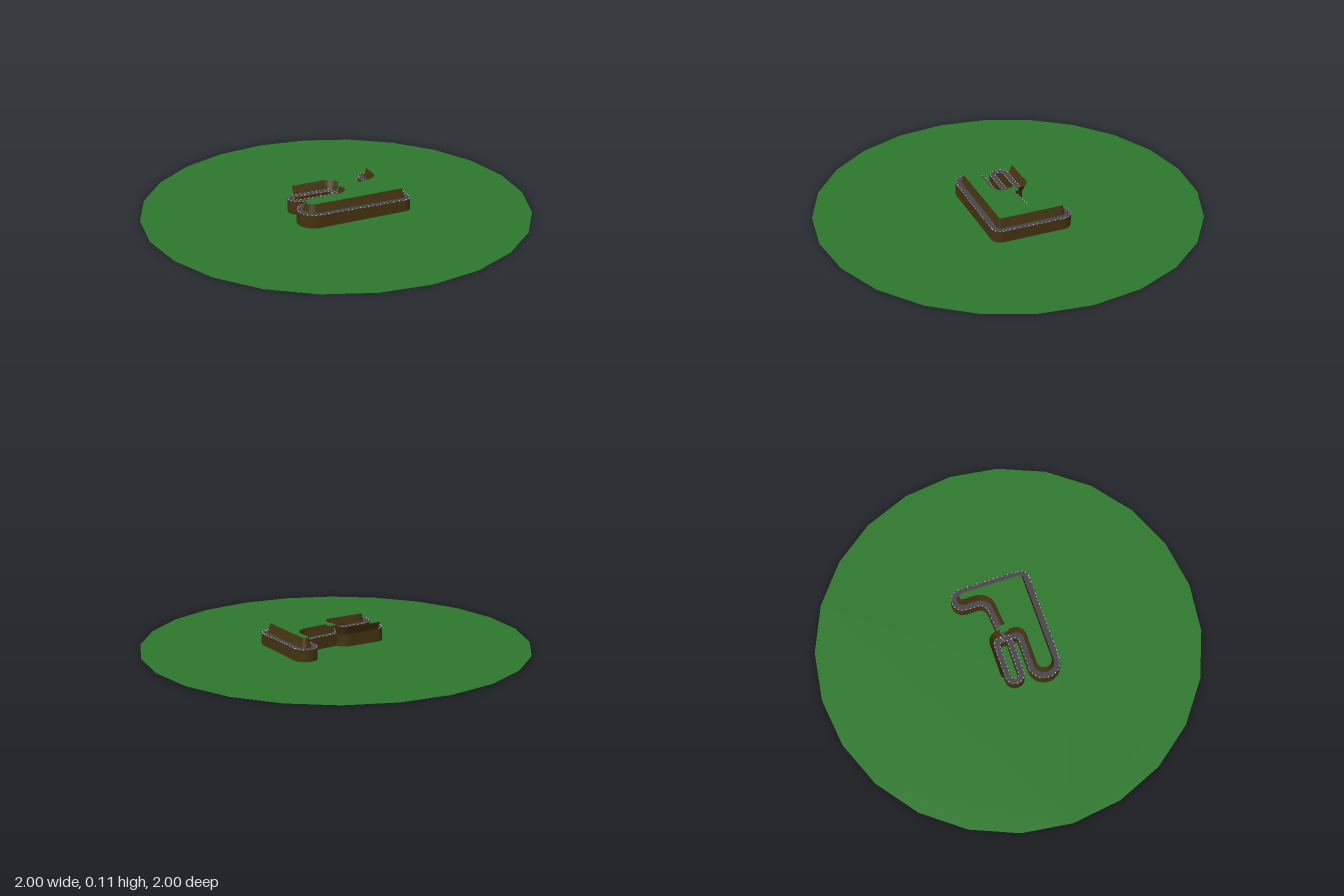
import * as THREE from 'three';
import { mergeGeometries } from 'three/addons/utils/BufferGeometryUtils.js';

const material = (name, color) => {
  const m = new THREE.MeshStandardMaterial({ color, side: THREE.DoubleSide });
  m.name = name;
  return m;
};

// Polyline through [x, z, cut] corners, each rounded by a curve
function roundedPath(corners, closed = true) {
  const v = corners.map(c => new THREE.Vector2(c[0], c[1]));
  const n = v.length, out = [];
  const toward = (a, b, d) => a.clone().add(b.clone().sub(a).setLength(d));
  v.forEach((p, i) => {
    if (!closed && (i === 0 || i === n - 1)) { out.push(p); return; }
    const r = corners[i][2];
    const a = toward(p, v[(i + n - 1) % n], r), b = toward(p, v[(i + 1) % n], r);
    const curve = new THREE.CubicBezierCurve(a, a.clone().lerp(p, 0.55), b.clone().lerp(p, 0.55), b);
    out.push(...curve.getPoints(8));
  });
  return out;
}

// Shift a path sideways; positive is to the right of travel
function offset(path, d, closed = true) {
  const n = path.length;
  const dir = (i, j) => path[j].clone().sub(path[i]).normalize();
  return path.map((p, i) => {
    const before = closed || i > 0 ? dir((i + n - 1) % n, i) : dir(i, i + 1);
    const after = closed || i < n - 1 ? dir(i, (i + 1) % n) : before;
    const t = before.add(after).normalize();
    return new THREE.Vector2(p.x - t.y * d, p.y + t.x * d);
  });
}

// Strip of quads between two paths at given heights
function band(a, ya, b, yb, closed = true) {
  const pos = [], n = a.length;
  for (let i = 0; i < (closed ? n : n - 1); i++) {
    const j = (i + 1) % n;
    const q = [[a[i], ya], [a[j], ya], [b[j], yb], [b[i], yb]].map(([p, y]) => [p.x, y(p.x), p.y]);
    for (const k of [0, 1, 2, 0, 2, 3]) pos.push(...q[k]);
  }
  const g = new THREE.BufferGeometry();
  g.setAttribute('position', new THREE.Float32BufferAttribute(pos, 3));
  g.computeVertexNormals();
  return g;
}

// Small kerb dashes along a closed path
function dashes(path, y) {
  const line = new THREE.CatmullRomCurve3(path.map(p => new THREE.Vector3(p.x, 0, p.y)), true, 'centripetal');
  const count = Math.round(line.getLength() / 0.022), parts = [];
  for (let i = 0; i < count; i++) {
    const p = line.getPointAt(i / count), t = line.getTangentAt(i / count);
    const g = new THREE.BoxGeometry(0.006, 0.002, 0.003);
    g.rotateY(Math.atan2(-t.z, t.x));
    g.translate(p.x, y(p.x) + 0.001, p.z);
    parts.push(g);
  }
  return mergeGeometries(parts);
}

export function createModel() {
  const group = new THREE.Group();
  const grass = material('grass green', 0x2d782d);
  const earth = material('earth brown', 0x443311);
  const asphalt = material('asphalt grey', 0x48444a);
  const kerb = material('kerb white', 0xe8e8e8);
  const add = (name, geometry, mat) => {
    const mesh = new THREE.Mesh(geometry, mat);
    mesh.name = name;
    group.add(mesh);
    return mesh;
  };

  const half = 0.016, slope = 0.029, top = 0.11;
  const ground = () => 0, plateau = () => top;
  const road = x => 0.065 - 0.014 * x;
  const shapeOf = path => new THREE.Shape(path.map(p => new THREE.Vector2(p.x, -p.y)));

  // Circuit centre lines, clockwise from above
  const main = roundedPath([
    [0, -0.025, 0.012], [0.228, -0.045, 0.05], [0.228, -0.204, 0.045], [0.32, -0.204, 0.045],
    [0.32, 0.195, 0.03], [-0.254, 0.195, 0.068], [-0.254, 0.058, 0.066], [0, 0.058, 0.025],
  ]);
  const loop = roundedPath([
    [-0.235, -0.07, 0.034], [0, -0.07, 0.03], [0, 0, 0.012], [-0.235, 0, 0.034],
  ]);

  // Field, open beneath the hollow hill
  const rim = Array.from({ length: 24 }, (_, i) =>
    new THREE.Vector2(Math.cos(i * Math.PI / 12), Math.sin(i * Math.PI / 12)));
  const field = new THREE.Shape(rim);
  field.holes.push(shapeOf(offset(main, -half)));
  add('field', new THREE.ShapeGeometry(field).rotateX(-Math.PI / 2), grass);

  // Main circuit: outer wall, road, embankment and hilltop
  const mainOut = offset(main, -half), mainIn = offset(main, half), crest = offset(main, slope);
  add('outerWall', band(mainOut, ground, mainOut, road), earth);
  add('mainRoad', band(mainOut, road, mainIn, road), asphalt);
  add('embankment', band(mainIn, road, crest, plateau), earth);
  add('hilltop', new THREE.ShapeGeometry(shapeOf(crest)).rotateX(-Math.PI / 2).translate(0, top, 0), grass);

  // Small hairpin loop with walls on both edges
  const loopOut = offset(loop, -half), loopIn = offset(loop, half);
  const loopRoad = x => road(x) + 0.001;
  add('loopRoad', band(loopOut, loopRoad, loopIn, loopRoad), asphalt);
  add('loopOuterWall', band(loopOut, ground, loopOut, road), earth);
  add('loopInnerWall', band(loopIn, ground, loopIn, road), earth);

  // Raised bank behind the small loop
  const bank = roundedPath([[-0.2, -0.07], [0, -0.07, 0.02], [0, -0.035]], false);
  add('backBank', band(offset(bank, -half, false), road, offset(bank, -0.037, false), plateau, false), earth);

  // Grass deck where the road dives under the hill
  add('bridgeDeck', new THREE.BoxGeometry(0.04, 0.004, 0.04).translate(0.04, top - 0.002, -0.016), grass);

  // Kerb dashes on the road edges
  add('mainKerb', dashes(offset(main, -half + 0.003), road), kerb);
  add('loopKerb', dashes(offset(loop, -half + 0.003), loopRoad), kerb);
  add('loopInnerKerb', dashes(offset(loop, half - 0.003), loopRoad), kerb);

  return group;
}
